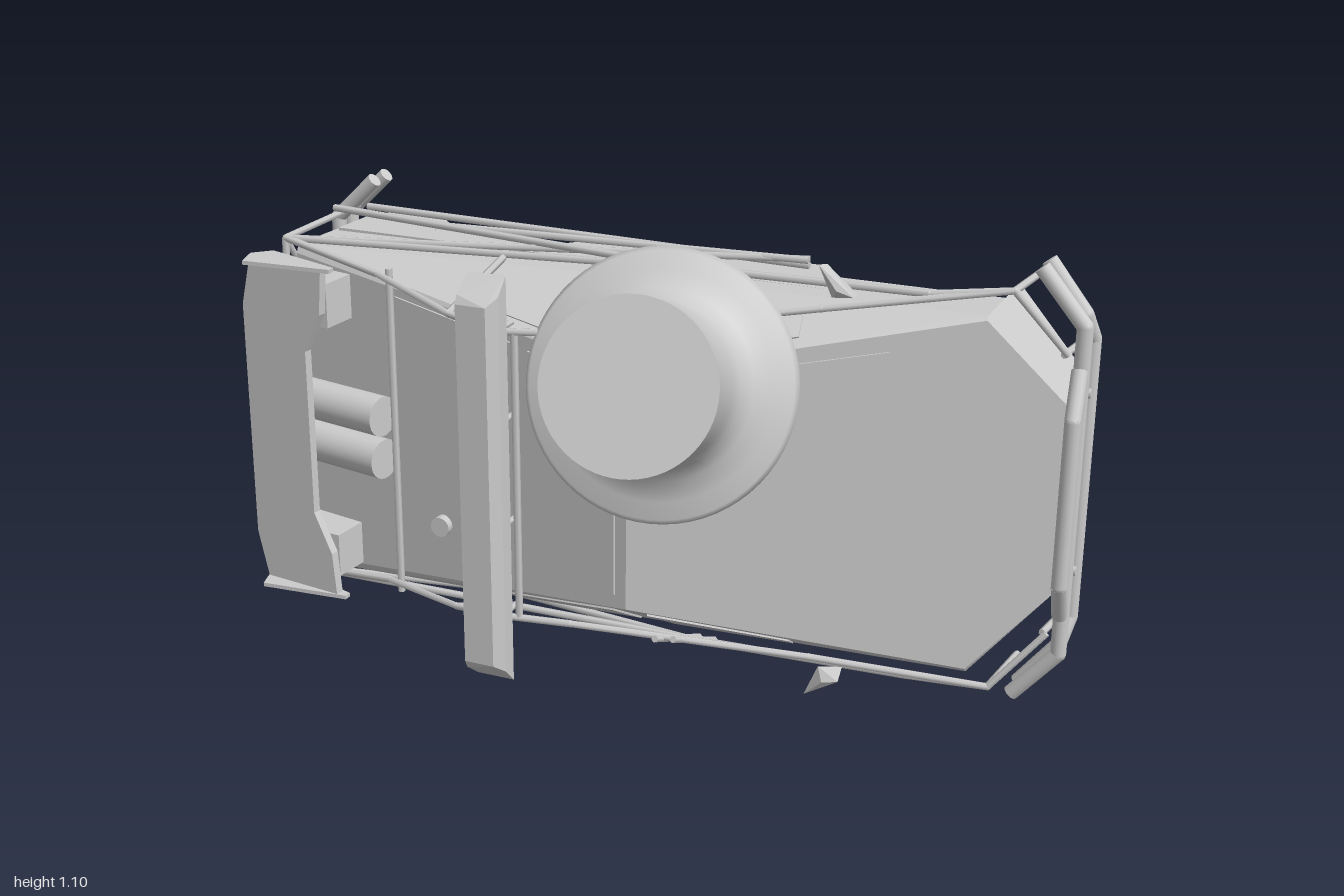
import * as THREE from 'three';
import { ConvexGeometry } from 'three/addons/geometries/ConvexGeometry.js';

const V = (x, y, z) => new THREE.Vector3(x, y, z);
const UP = V(0, 1, 0);
const flat = new THREE.MeshStandardMaterial({ color: 0xcccccc, flatShading: true });
const smooth = new THREE.MeshStandardMaterial({ color: 0xcccccc, side: THREE.DoubleSide });

export function createModel() {
  const model = new THREE.Group();
  model.name = 'truckWithTopHat';
  // The truck lies on its side: x is its length, y its width, z its height
  const truck = new THREE.Group();
  truck.name = 'truck';
  truck.position.y = 0.545;
  model.add(truck);

  const add = (name, geo, mat = flat, parent = truck) => {
    const m = new THREE.Mesh(geo, mat);
    m.name = name;
    parent.add(m);
    return m;
  };
  const solid = (name, pts) => add(name, new ConvexGeometry(pts.map(p => V(...p))));
  const box = (name, w, h, d, x, y, z) =>
    add(name, new THREE.BoxGeometry(w, h, d)).position.set(x, y, z);
  // Straight rods between points, with round joints
  const tube = (name, r, pts, sides = 8) => {
    const g = new THREE.Group();
    g.name = name;
    truck.add(g);
    pts.map(p => V(...p)).forEach((a, i, all) => {
      if (i === all.length - 1) return;
      const b = all[i + 1], d = b.clone().sub(a);
      const m = add('rod', new THREE.CylinderGeometry(r, r, d.length(), sides), smooth, g);
      m.position.copy(a).lerp(b, 0.5);
      m.quaternion.setFromUnitVectors(UP, d.normalize());
      if (i) add('joint', new THREE.SphereGeometry(r, sides, 6), smooth, g).position.copy(a);
    });
  };
  // Both flanks: f receives a function that mirrors the width
  const bothSides = f => [1, -1].forEach(s => f((x, w, z) => [x, s * w, z], s));
  const pairs = list => list.flatMap(([x, w, z]) => [[x, w, z], [x, -w, z]]);

  // Upper body: wedge with one roof peak
  solid('upperBody', pairs([
    [-0.92, 0.405, -0.1], [-0.92, 0.425, -0.11], [-0.89, 0.43, -0.36],
    [0.05, 0.29, 0.09], [0.05, 0.435, -0.17], [0.785, 0.425, -0.201],
    [0.785, 0.435, -0.21], [0.785, 0.435, -0.32], [0.96, 0.23, -0.27], [0.96, 0.23, -0.32],
  ]));
  // Nose with cut corners
  solid('nose', pairs([
    [0.785, 0.435, -0.21], [0.96, 0.23, -0.275], [0.785, 0.435, -0.48], [0.96, 0.23, -0.48],
  ]));

  // Underbody and flanks: stepped profile with two wheel arches
  const stepped = (name, width, lift, dx) => {
    const low = -0.48 + lift, arch = -0.4 + lift;
    const s = new THREE.Shape([
      [-0.89, -0.25], [-0.88, low], [-0.715 + dx, low], [-0.63 - dx, arch], [-0.335 + dx, arch],
      [-0.265 + dx, low], [0.31, low], [0.38, arch], [0.785, arch], [0.785, -0.25],
    ].map(p => new THREE.Vector2(...p)));
    const g = new THREE.ExtrudeGeometry(s, { depth: width, bevelEnabled: false });
    g.rotateX(Math.PI / 2);
    g.translate(0, width / 2, 0);
    add(name, g);
  };
  stepped('underbody', 0.84, 0, 0);
  stepped('flanks', 0.87, 0.08, 0.025);

  // Thin panes laid on the sloped faces
  const pane = (name, pts, n) => solid(name, [...pts, ...pts.map(p => p.map((v, i) => v + n[i] * 0.005))]);
  const frontZ = x => 0.09 - 0.396 * (x - 0.05), rearZ = x => 0.09 + 0.196 * (x - 0.05);
  pane('windshield', pairs([[0.1, 0.27, frontZ(0.1)], [0.59, 0.35, frontZ(0.59)], [0.6, 0.2, frontZ(0.6)]]), [0.37, 0, 0.93]);
  pane('roofGlass', pairs([[0.02, 0.26, rearZ(0.02)], [-0.22, 0.29, rearZ(-0.22)]]), [-0.19, 0, 0.98]);
  pane('rearCover', pairs([[-0.26, 0.3, rearZ(-0.26)], [-0.61, 0.35, rearZ(-0.61)]]), [-0.19, 0, 0.98]);
  const roof = [0.05, 0.29, 0.09], belt = [0.05, 0.435, -0.17];
  bothSides((m, s) => {
    const spot = (end, a, b, c) => m(...roof.map((v, i) => a * v + b * belt[i] + c * end[i]));
    [['frontSideWindow', [0.785, 0.43, -0.205]], ['rearSideWindow', [-0.92, 0.42, -0.11]]].forEach(([name, end]) =>
      pane(name, [spot(end, 0.85, 0.1, 0.05), spot(end, 0.2, 0.75, 0.05), spot(end, 0.15, 0.4, 0.45),
        spot(end, 0.43, 0.1, 0.47)], [0, s * 0.87, 0.49]));
  });

  // Exoskeleton of thin rods on each flank
  bothSides(m => {
    const rail = (...pts) => tube('frameRail', 0.009, pts.map(p => m(...p)), 6);
    rail([-0.95, 0.44, -0.1], [-0.66, 0.4, -0.04], [-0.4, 0.37, 0.085], [-0.26, 0.355, 0.115],
      [-0.1, 0.36, 0.08], [0.43, 0.43, -0.12], [0.83, 0.485, -0.25], [0.95, 0.34, -0.29]);
    rail([-0.95, 0.44, -0.1], [0.1, 0.47, -0.17], [0.65, 0.47, -0.2], [0.83, 0.485, -0.25]);
    rail([-0.93, 0.47, -0.3], [0.1, 0.47, -0.17]);
    rail([-0.95, 0.44, -0.1], [0.32, 0.47, -0.35]);
    rail([-0.88, 0.46, -0.38], [0.32, 0.455, -0.35]);
    rail([-0.6, 0.47, -0.26], [0.32, 0.47, -0.34]);
    rail([-0.4, 0.37, 0.085], [-0.36, 0.455, -0.12]);
    rail([0.1, 0.38, 0.035], [0.13, 0.46, -0.17]);
    rail([0.14, 0.38, 0.02], [0.17, 0.46, -0.17]);
    rail([-0.95, 0.44, -0.1], [-0.95, 0.44, -0.46]);
    rail([0.83, 0.485, -0.25], [0.85, 0.485, -0.45]);
    rail([0.94, 0.34, -0.29], [0.96, 0.34, -0.44]);
    // Bumper mounts
    [[0.92, -0.32], [0.92, -0.4]].forEach(([x, z]) => tube('bumperMount', 0.012, [m(x, 0.22, z), m(0.985, 0.22, z)]));
    [-0.4, -0.46].forEach(z => tube('bumperMount', 0.012, [m(-0.88, 0.3, z), m(-0.985, 0.3, z)]));
  });
  // Rear cross braces
  tube('crossBar', 0.009, [[-0.95, 0.44, -0.1], [-0.95, -0.44, -0.1]], 6);
  tube('rearBrace', 0.008, [[-0.95, 0.44, -0.1], [-0.95, 0, -0.42], [-0.95, -0.44, -0.1]], 6);
  tube('crossBar', 0.009, [[-0.62, 0.42, -0.03], [-0.62, -0.42, -0.03]], 6);
  tube('crossBar', 0.009, [[-0.22, 0.36, 0.105], [-0.22, -0.36, 0.105]], 6);

  // Bumpers: bent pipes that wrap the corners
  const bumper = (name, half, end) => tube(name, 0.019, [...half, ...half.slice().reverse().map(([x, w, z]) => [x, -w, z])], 12);
  bumper('frontBumperUpper', [[0.87, 0.525, -0.32], [0.975, 0.4, -0.32]]);
  bumper('frontBumperLower', [[0.87, 0.525, -0.385], [0.96, 0.41, -0.385], [0.975, 0.345, -0.42]]);
  bumper('bullBar', [[0.972, 0.3, -0.315], [0.978, 0.2, -0.255]]);
  [-0.4, -0.46].forEach(z => bumper('rearBumper', [[-0.87, 0.525, z], [-0.98, 0.42, z]]));

  // Light bar above the roof
  solid('lightBar', pairs([
    [-0.31, 0.5, 0.15], [-0.215, 0.5, 0.15], [-0.31, 0.44, 0.215], [-0.235, 0.44, 0.215],
    [-0.215, 0.46, 0.19], [-0.31, 0.46, 0.205],
  ]));
  bothSides(m => [0.13, 0.355].forEach(w => tube('lightBarPost', 0.008, [m(-0.26, w, 0.04), m(-0.26, w, 0.16)], 6)));

  // Rear wing with narrowed middle, end plates and struts
  const wing = new THREE.Shape([
    [-1, -0.3], [-0.97, -0.42], [-0.75, -0.42], [-0.76, -0.31], [-0.81, -0.21],
    [-0.81, 0.21], [-0.76, 0.31], [-0.75, 0.42], [-0.97, 0.42], [-1, 0.3],
  ].map(p => new THREE.Vector2(...p)));
  const wingGeo = new THREE.ExtrudeGeometry(wing, { depth: 0.022, bevelEnabled: false });
  wingGeo.translate(0.88, 0, 0);
  wingGeo.rotateY(-0.14);
  add('wing', wingGeo).position.set(-0.88, 0, 0.02);
  bothSides(m => {
    solid('wingEndPlate', [0.417, 0.427].flatMap(w => [
      m(-0.94, w, -0.03), m(-0.73, w, 0.04), m(-0.73, w, 0.06), m(-0.96, w, 0.077), m(-0.98, w, 0.01)]));
    solid('wingStrut', [0.27, 0.38].flatMap(w => [
      m(-0.9, w, -0.11), m(-0.75, w, -0.08), m(-0.76, w, 0.03), m(-0.9, w, 0.02)]));
  });

  // Twin boosters under the wing
  [-0.055, 0.055].forEach(w => {
    const b = add('booster', new THREE.CylinderGeometry(0.05, 0.05, 0.28, 24), smooth);
    b.position.set(-0.77, w, -0.025);
    b.quaternion.setFromUnitVectors(UP, V(1, 0, 0.2).normalize());
  });
  // Filler cap
  const cap = add('fillerCap', new THREE.CylinderGeometry(0.025, 0.025, 0.05, 16), smooth);
  cap.rotation.x = Math.PI / 2;
  cap.position.set(-0.48, -0.205, -0.01);

  // Wing mirrors
  bothSides(m => solid('mirror', [
    m(0.42, 0.53, -0.12), m(0.43, 0.525, -0.15), m(0.51, 0.47, -0.1),
    m(0.5, 0.46, -0.16), m(0.45, 0.455, -0.13), m(0.47, 0.48, -0.1)]));

  // Top hat, tilted on the roof
  const hat = new THREE.Group();
  hat.name = 'topHat';
  hat.position.set(0.125, 0.81, 0.065);
  hat.quaternion.setFromUnitVectors(UP, V(0.075, 0.12, 0.35).normalize());
  model.add(hat);
  const profile = [[0, 0.015], [0.18, 0.01], [0.26, -0.012], [0.3, -0.01], [0.31, 0.002], [0.3, 0.014],
    [0.26, 0.022], [0.215, 0.045], [0.19, 0.08], [0.182, 0.13], [0.18, 0.2], [0.184, 0.29], [0.191, 0.377]];
  add('brimAndCrown', new THREE.LatheGeometry(profile.map(p => new THREE.Vector2(...p)), 64), smooth, hat);
  const top = add('crownTop', new THREE.CircleGeometry(0.191, 64), smooth, hat);
  top.rotation.x = -Math.PI / 2;
  top.position.y = 0.377;

  return model;
}
